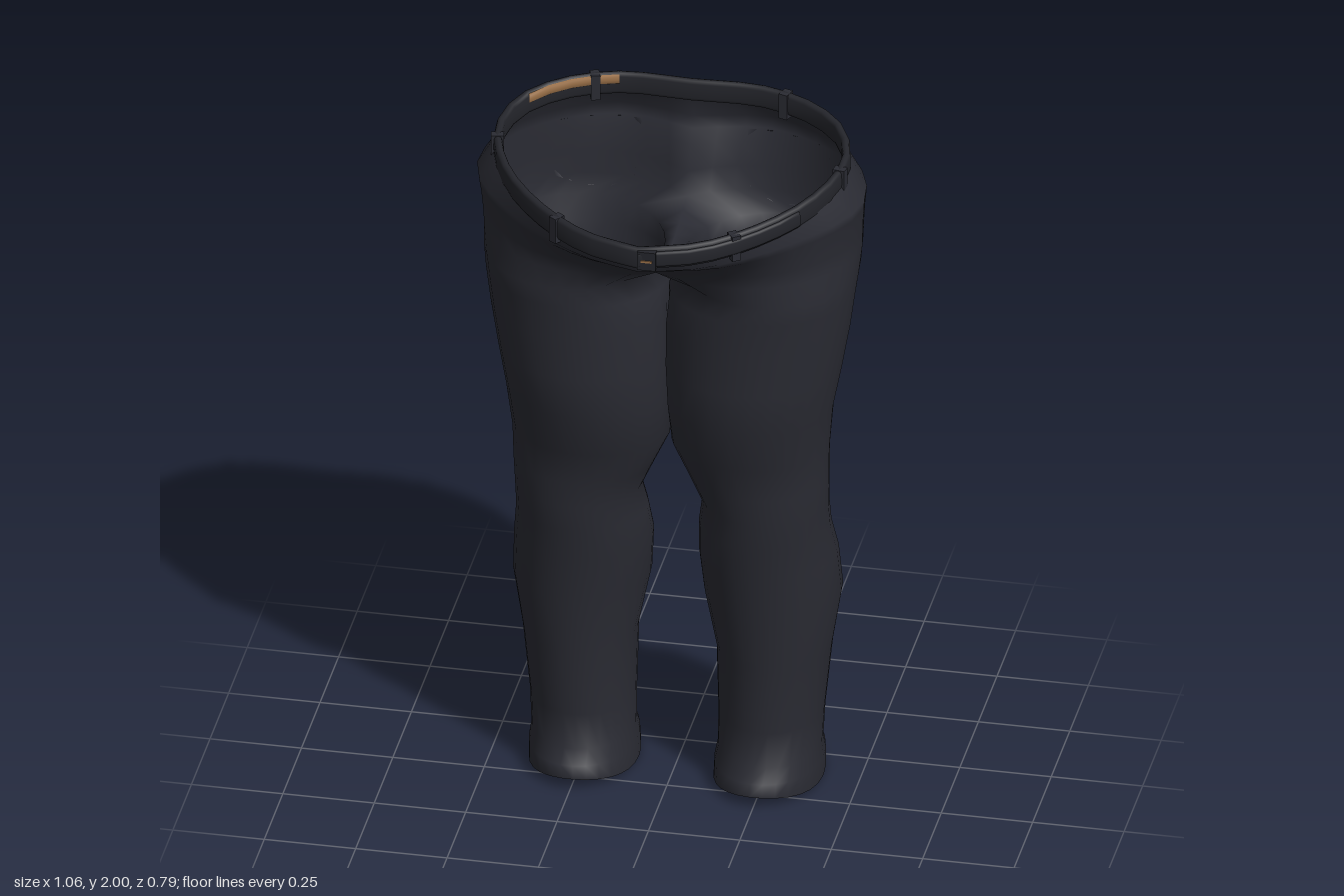
import * as THREE from 'three';
import { mergeVertices } from 'three/addons/utils/BufferGeometryUtils.js';

const mat = (name, color) => {
  const m = new THREE.MeshStandardMaterial({ color, side: THREE.DoubleSide });
  m.name = name;
  return m;
};

// Smooth plan curve through [x, z] points, sampled evenly
const plan = (pts, n) =>
  new THREE.CatmullRomCurve3(pts.map(([x, z]) => new THREE.Vector3(x, 0, z))).getSpacedPoints(n);

const fromQuads = (pos, idx) => {
  const g = new THREE.BufferGeometry();
  g.setAttribute('position', new THREE.Float32BufferAttribute(pos, 3));
  g.setIndex(idx);
  const merged = mergeVertices(g, 1e-4);
  merged.computeVertexNormals();
  return merged;
};

const OUT = 20, RING = 28;

// Half outlines of the hip, the trouser edge and the belt: front, outside, back
const hip = plan([[0, .15], [.12, .185], [.25, .19], [.38, .14], [.48, .03], [.515, -.08],
  [.48, -.22], [.38, -.31], [.22, -.35], [.08, -.32], [0, -.27]], OUT);
const edge = plan([[0, .38], [.15, .34], [.3, .25], [.42, .14], [.505, .03], [.53, -.06],
  [.5, -.18], [.4, -.3], [.21, -.39], [.08, -.375], [0, -.36]], OUT);
const waist = plan([[0, .385], [.15, .345], [.28, .26], [.4, .13], [.462, 0], [.473, -.08],
  [.44, -.19], [.35, -.275], [.2, -.33], [0, -.33]], OUT);
const edgeY = z => 1.8 + (.4 - z) * .09;
const beltY = z => 1.847 + (.4 - z) * .164;

// Leg levels: y, inner x, outer x, front z, back z
const legLevels = [
  [0, .105, .4, .08, -.36], [.06, .108, .4, .078, -.355], [.1, .115, .395, .03, -.31],
  [.2, .115, .4, .02, -.31], [.4, .11, .42, .035, -.33], [.57, .075, .447, .05, -.35],
  [.7, .065, .44, .065, -.32], [.8, .072, .428, .08, -.265], [.88, .085, .427, .09, -.23],
  [.96, .05, .43, .098, -.222], [1.06, .004, .432, .115, -.23], [1.2, -.008, .445, .165, -.25],
  [1.32, -.015, .468, .17, -.268], [1.45, -.015, .49, .175, -.287], [1.55, -.005, .503, .18, -.3],
  [1.61, .026, .51, .185, -.335],
];

function trousersGeometry() {
  const rings = legLevels.map(([y, xi, xo, zf, zb]) =>
    Array.from({ length: RING }, (_, i) => {
      const deg = i <= OUT ? 135 - 13.5 * i : -135 - 11.25 * (i - OUT);
      const a = THREE.MathUtils.degToRad(deg);
      const hemRise = y < .08 ? .035 * Math.sin(a) ** 2 * (1 - y / .1) : 0;
      return [Math.max(.003, (xi + xo) / 2 + (xo - xi) / 2 * Math.cos(a)), y + hemRise,
        (zf + zb) / 2 + (zf - zb) / 2 * Math.sin(a)];
    }));
  // Hip ring, closed along the sagging crotch seam
  const top = hip.map(p => [Math.max(0, p.x), 1.67, p.z]);
  for (let i = 1; i < RING - OUT; i++) {
    const t = i / (RING - OUT);
    top.push([0, 1.67 - .035 * Math.sin(Math.PI * t), THREE.MathUtils.lerp(hip[OUT].z, hip[0].z, t)]);
  }
  rings.push(top);
  // Pelvis widening up to the trouser edge
  for (const [s, t] of [[.33, .22], [.66, .54], [.85, .82], [1, 1]]) {
    rings.push(hip.map((p, i) => {
      const q = p.clone().lerp(edge[i], t);
      return [Math.max(0, q.x), THREE.MathUtils.lerp(1.67, edgeY(edge[i].z), s), q.z];
    }));
  }
  // Waistband leaning inwards under the belt
  rings.push(waist.map(p => [Math.max(0, p.x), beltY(p.z), p.z]));

  const pos = [], idx = [];
  for (const side of [1, -1]) {
    const starts = rings.map(r => {
      const start = pos.length / 3;
      r.forEach(([x, y, z]) => pos.push(side * x, y, z));
      return start;
    });
    for (let l = 0; l < rings.length - 1; l++) {
      const closed = rings[l + 1].length === RING;
      for (let i = 0; i < (closed ? RING : OUT); i++) {
        const j = closed ? (i + 1) % RING : i + 1;
        const [a, b, c, d] = [starts[l] + i, starts[l] + j, starts[l + 1] + j, starts[l + 1] + i];
        if (side > 0) idx.push(a, b, c, a, c, d);
        else idx.push(a, c, b, a, d, c);
      }
    }
  }
  return fromQuads(pos, idx);
}

// Rounded strap swept along a plan path that follows the belt's tilt
function strap(path, closed, height, thick, off = 0, lift = 0) {
  const K = 12, n = path.length, pos = [], idx = [];
  const order = path.map((_, i) => [i, 1]);
  if (!closed) { order.unshift([0, 0]); order.push([n - 1, 0]); }
  for (const [i, scale] of order) {
    const p = path[i];
    const prev = closed ? path[(i + n - 1) % n] : path[Math.max(0, i - 1)];
    const next = closed ? path[(i + 1) % n] : path[Math.min(n - 1, i + 1)];
    const t = next.clone().sub(prev).normalize();
    for (let k = 0; k < K; k++) {
      const a = k / K * Math.PI * 2;
      const soft = v => Math.sign(v) * Math.abs(v) ** .6 * scale / 2;
      const r = off + thick * soft(Math.cos(a));
      pos.push(p.x - t.z * r, beltY(p.z) + lift + height * soft(Math.sin(a)), p.z + t.x * r);
    }
  }
  const m = order.length;
  for (let i = 0; i < (closed ? m : m - 1); i++) {
    for (let k = 0; k < K; k++) {
      const a = i * K + k, b = ((i + 1) % m) * K + k;
      const c = ((i + 1) % m) * K + (k + 1) % K, d = i * K + (k + 1) % K;
      idx.push(a, b, c, a, c, d);
    }
  }
  return fromQuads(pos, idx);
}

// Pointed patch pocket laid over the seat of the trousers
function pocketGeometry(trousers, side) {
  const N = 10, pos = [], idx = [];
  const ray = new THREE.Raycaster();
  for (let j = 0; j <= N; j++) {
    for (let i = 0; i <= N; i++) {
      const u = i / N * 2 - 1, v = j / N;
      const x = side * (.265 + u * (.105 + .015 * v));
      const bottom = 1.635 + .05 * Math.max(0, Math.abs(u) - .35);
      const y = THREE.MathUtils.lerp(bottom, 1.835, v);
      ray.set(new THREE.Vector3(x, y, -1), new THREE.Vector3(0, 0, 1));
      const hit = ray.intersectObject(trousers)[0];
      const rim = i === 0 || j === 0 || i === N || j === N;
      pos.push(x, y, (hit ? hit.point.z : -.3) - (rim ? 0 : .014));
    }
  }
  for (let j = 0; j < N; j++) {
    for (let i = 0; i < N; i++) {
      const a = j * (N + 1) + i, b = a + 1, c = b + N + 1, d = a + N + 1;
      if (side > 0) idx.push(a, c, b, a, d, c);
      else idx.push(a, b, c, a, c, d);
    }
  }
  return fromQuads(pos, idx);
}

export function createModel() {
  const group = new THREE.Group();
  const denim = mat('dark denim', 0x2a2b33);
  const leather = mat('black leather', 0x24252b);
  const tan = mat('tan leather', 0x9a7048);
  const add = (name, geometry, material) => {
    const mesh = new THREE.Mesh(geometry, material);
    mesh.name = name;
    group.add(mesh);
    return mesh;
  };

  const trousers = add('trousers', trousersGeometry(), denim);
  add('leftBackPocket', pocketGeometry(trousers, 1), denim);
  add('rightBackPocket', pocketGeometry(trousers, -1), denim);

  // Belt with overlapping tail and buckle
  const mirrored = waist.slice(1, -1).reverse().map(p => new THREE.Vector3(-p.x, 0, p.z));
  add('belt', strap([...waist, ...mirrored], true, .065, .024), leather);
  add('beltTail', strap(waist.slice(0, 8), false, .045, .016, .012), leather);
  const buckle = add('buckle', new THREE.BoxGeometry(.05, .055, .02), leather);
  buckle.position.set(.025, beltY(.39), .392);
  const pin = add('bucklePin', new THREE.BoxGeometry(.03, .006, .008), tan);
  pin.position.set(.025, beltY(.39), .401);

  // Tan label wrapped over the belt at the back right
  const label = mirrored.filter(p => p.z < -.18 && p.x < -.19 && p.x > -.44);
  add('beltLabel', strap(label, false, .03, .03, 0, .014), tan);

  // Belt loops
  [4, 10, 16].forEach(i => [1, -1].forEach(side => {
    const p = waist[i], t = waist[i + 1].clone().sub(waist[i - 1]);
    const loop = add('beltLoop', new THREE.BoxGeometry(.025, .075, .034), denim);
    loop.position.set(side * p.x, beltY(p.z) - .006, p.z);
    loop.rotation.y = side * Math.atan2(-t.z, t.x);
  }));
  return group;
}
